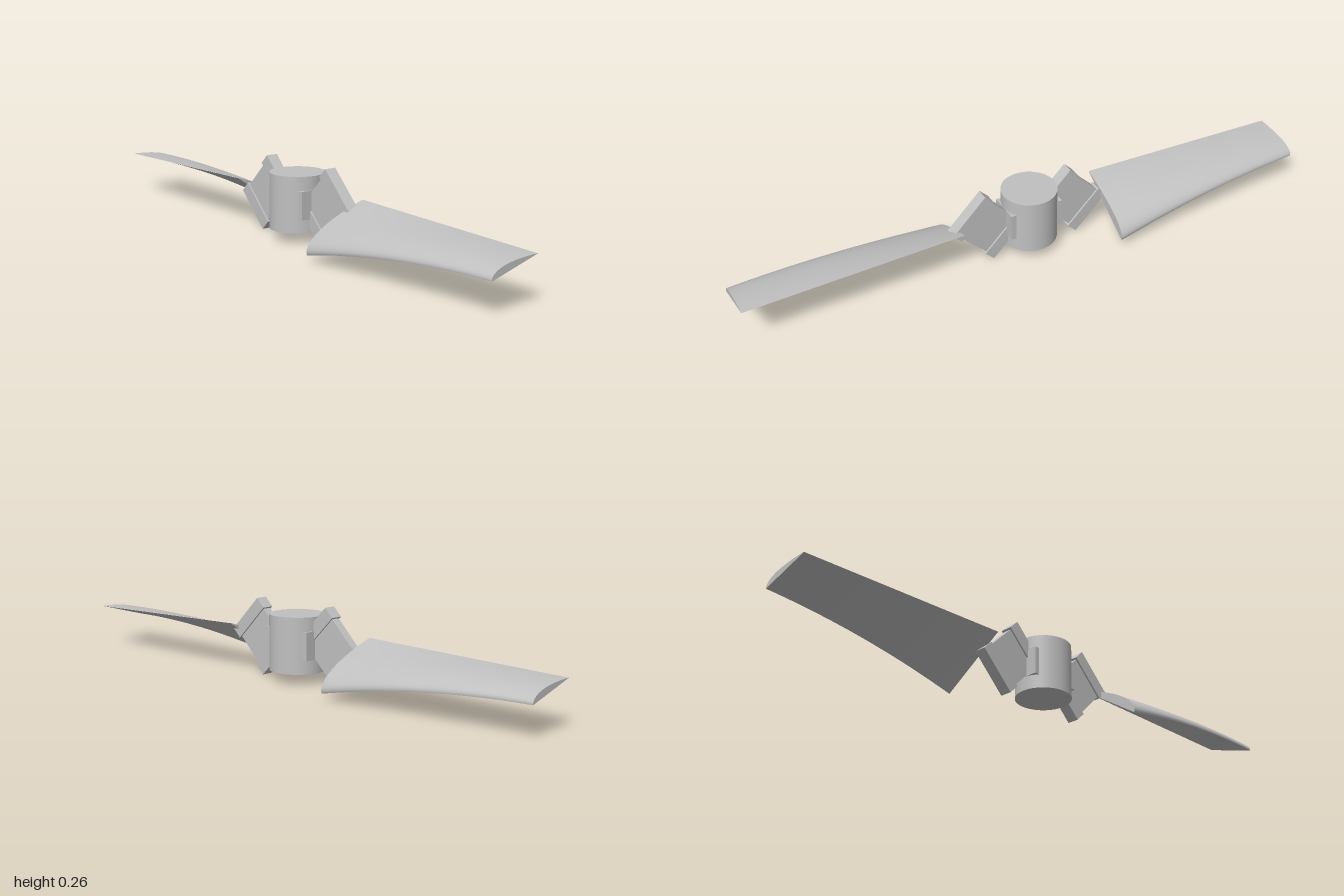
import * as THREE from 'three';
import { mergeGeometries } from 'three/addons/utils/BufferGeometryUtils.js';
import { ParametricGeometry } from 'three/addons/geometries/ParametricGeometry.js';

const MID = 0.131; // height of the hub's centre
const lerp = THREE.MathUtils.lerp;

// Point on the blade: t along the span, s from leading to trailing edge, h from underside to top
function bladePoint(t, s, h, target) {
  const ease = 1 - (1 - t) ** 2;
  const leadZ = lerp(0.166, 0.126, t), leadY = lerp(0.022, 0.101, ease);
  const trailZ = lerp(-0.058, -0.05, t), trailY = lerp(0.168, 0.149, t);
  const dz = trailZ - leadZ, dy = trailY - leadY;
  const thick = h * 1.25 * (0.2969 * Math.sqrt(s) - 0.126 * s - 0.3516 * s ** 2 + 0.2843 * s ** 3 - 0.1015 * s ** 4);
  target.set(lerp(0.265, 1, t), leadY + dy * s - dz * thick, leadZ + dz * s + dy * thick);
}

// Twisted, flat-bottomed airfoil: top, underside and two end caps
function bladeGeometry() {
  const surface = (fn, slices, stacks) => {
    const g = new ParametricGeometry(fn, slices, stacks);
    g.computeVertexNormals();
    return g;
  };
  return mergeGeometries([
    surface((u, v, p) => bladePoint(u, v * v, 1, p), 32, 24),
    surface((u, v, p) => bladePoint(u, (1 - v) ** 2, 0, p), 32, 24),
    surface((u, v, p) => bladePoint(1, u * u, v, p), 24, 1),
    surface((u, v, p) => bladePoint(0, (1 - u) ** 2, v, p), 24, 1),
  ]);
}

export function createModel() {
  const model = new THREE.Group();
  model.name = 'propeller';
  const grey = new THREE.MeshStandardMaterial({ color: 0xc0c0c0 });
  grey.name = 'grey';

  const add = (parent, name, geometry, x = 0, y = 0, z = 0) => {
    const mesh = new THREE.Mesh(geometry, grey);
    mesh.name = name;
    mesh.position.set(x, y, z);
    parent.add(mesh);
    return mesh;
  };

  // Central hub
  add(model, 'hub', new THREE.CylinderGeometry(0.094, 0.094, 0.189, 64), 0, MID, 0);

  const blade = bladeGeometry();
  for (const side of [1, -1]) {
    const label = side > 0 ? 'left' : 'right';

    // Flat mounting plate let into the hub
    add(model, label + 'MountPlate', new THREE.BoxGeometry(0.024, 0.095, 0.11), side * 0.082, MID, 0);

    // Tilted bracket: thin web between two wider end bars
    const bracket = new THREE.Group();
    bracket.name = label + 'Bracket';
    bracket.position.set(side * 0.1575, MID, 0);
    bracket.rotation.z = -Math.PI / 4;
    add(bracket, 'bracketWeb', new THREE.BoxGeometry(0.152, 0.13, 0.03));
    for (const end of [1, -1]) {
      add(bracket, 'bracketBar', new THREE.BoxGeometry(0.166, 0.043, 0.042), 0, end * 0.0805, 0);
    }
    model.add(bracket);

    // Blade, turned half way round for the second side
    add(model, label + 'Blade', blade).rotation.y = side > 0 ? 0 : Math.PI;
  }
  return model;
}
